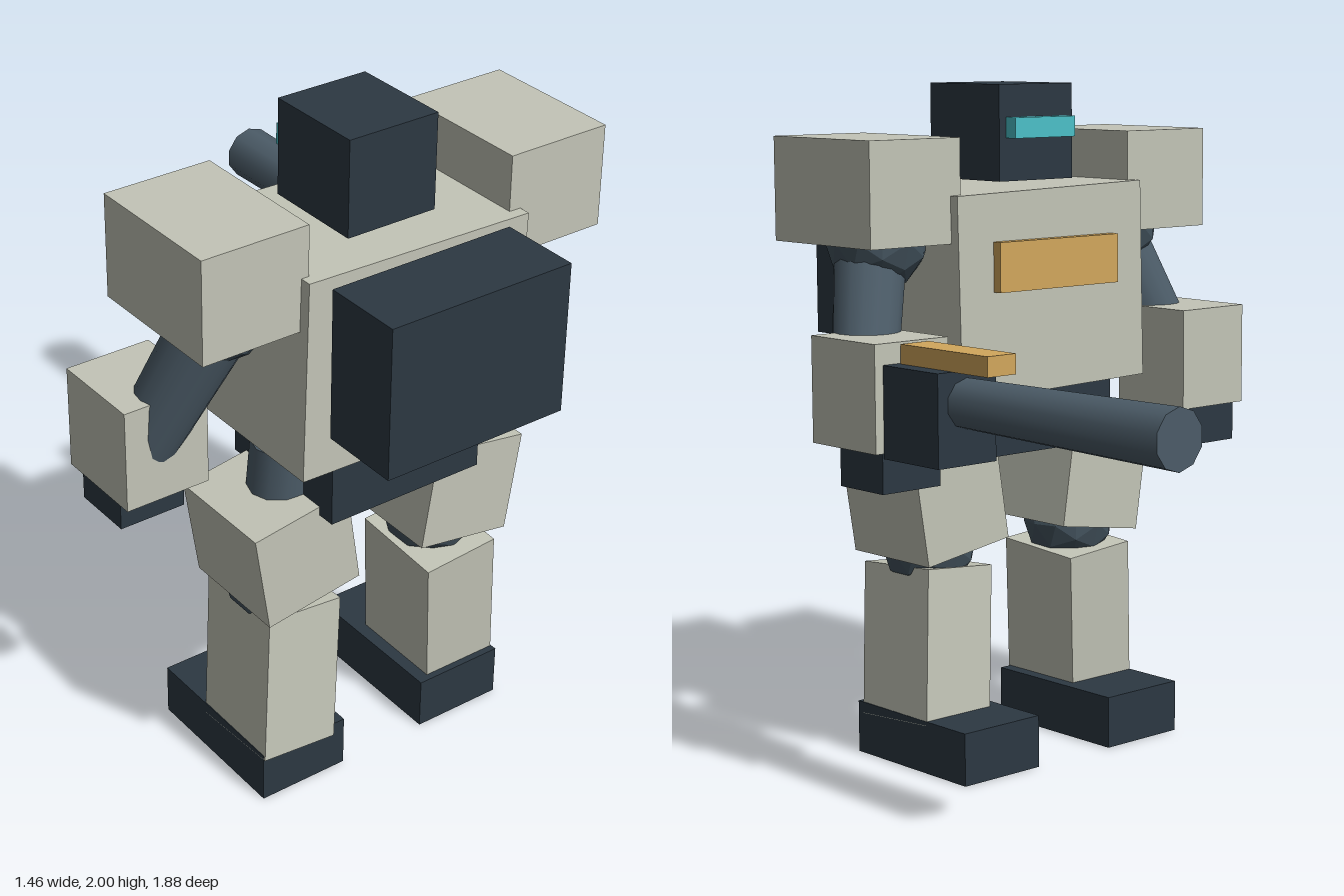
import * as THREE from 'three';

const mat = (color, flatShading = false) => new THREE.MeshStandardMaterial({ color, flatShading });

export function createModel() {
  const armour = mat(0xc3c5b7), dark = mat(0x2c3842), steel = mat(0x4c5c68);
  const joint = mat(0x44545f, true), gold = mat(0xd2a75c), cyan = mat(0x4cc0c8);
  const model = new THREE.Group();

  const add = (name, geometry, material, parent = model) => {
    const mesh = new THREE.Mesh(geometry, material);
    mesh.name = name;
    parent.add(mesh);
    return mesh;
  };
  // Box from its size and centre
  const box = (name, material, size, centre, parent) => {
    const mesh = add(name, new THREE.BoxGeometry(...size), material, parent);
    mesh.position.set(...centre);
    return mesh;
  };
  // Tapered cylinder between two points
  const rod = (name, material, from, to, r0, r1, sides, parent) => {
    const a = new THREE.Vector3(...from), b = new THREE.Vector3(...to);
    const dir = b.clone().sub(a);
    const mesh = add(name, new THREE.CylinderGeometry(r1, r0, dir.length(), sides), material, parent);
    mesh.position.copy(a).add(b).multiplyScalar(0.5);
    mesh.quaternion.setFromUnitVectors(new THREE.Vector3(0, 1, 0), dir.normalize());
    return mesh;
  };
  const ball = (name, r, centre, parent) => {
    const mesh = add(name, new THREE.IcosahedronGeometry(r, 1), joint, parent);
    mesh.position.set(...centre);
    return mesh;
  };

  // Head and trunk
  box('head', dark, [0.285, 0.28, 0.31], [0, 1.86, 0.405]);
  box('visor', cyan, [0.235, 0.06, 0.05], [0, 1.875, 0.233]);
  box('torso', armour, [0.72, 0.59, 0.505], [0, 1.405, 0.427]).rotation.z = -0.024;
  box('chestPlate', gold, [0.465, 0.145, 0.05], [0, 1.483, 0.17]);
  box('backPlate', gold, [0.465, 0.145, 0.04], [0, 1.483, 0.67]);
  box('backpack', dark, [0.58, 0.445, 0.245], [0, 1.457, 0.815]);
  box('pelvis', dark, [0.505, 0.19, 0.455], [0, 1.02, 0.428]);

  for (const s of [1, -1]) {
    const side = s > 0 ? 'left' : 'right';

    // Arm
    const arm = new THREE.Group();
    arm.name = side + 'Arm';
    model.add(arm);
    box('shoulderPad', armour, [0.325, 0.3, 0.44], [s * 0.492, 1.705, 0.425], arm);
    ball('shoulderJoint', 0.15, [s * 0.46, 1.56, 0.425], arm);
    rod('upperArm', steel, [s * 0.475, 1.53, 0.435], [s * 0.61, 1.15, 0.3], 0.106, 0.092, 16, arm);
    box('forearm', armour, [0.26, 0.305, 0.285], [s * 0.598, 1.157, 0.243], arm);
    box('hand', dark, [0.205, 0.12, 0.19], [s * 0.595, 0.948, 0.205], arm);

    // Leg
    const leg = new THREE.Group();
    leg.name = side + 'Leg';
    model.add(leg);
    rod('thigh', steel, [s * 0.235, 1.066, 0.425], [s * 0.28, 0.65, 0.425], 0.103, 0.1, 12, leg);
    box('thighArmour', armour, [0.31, 0.305, 0.345], [s * 0.288, 0.792, 0.428], leg).rotation.z = -s * 0.155;
    ball('knee', 0.14, [s * 0.282, 0.645, 0.422], leg);
    box('shin', armour, [0.243, 0.46, 0.3], [s * 0.287, 0.352, 0.427], leg).rotation.set(s * 0.07, 0, s * 0.085);
    box('foot', dark, [0.285, 0.157, 0.495], [s * 0.285, 0.0785, 0.337], leg);
  }

  // Weapon held on the left arm
  const weapon = new THREE.Group();
  weapon.name = 'weapon';
  model.add(weapon);
  box('weaponBody', dark, [0.205, 0.26, 0.235], [0.597, 1.12, -0.015], weapon);
  rod('barrel', steel, [0.597, 1.16, -0.1], [0.597, 1.158, -0.938], 0.07, 0.083, 10, weapon);
  box('sight', gold, [0.1, 0.056, 0.365], [0.597, 1.277, -0.093], weapon);

  return model;
}
